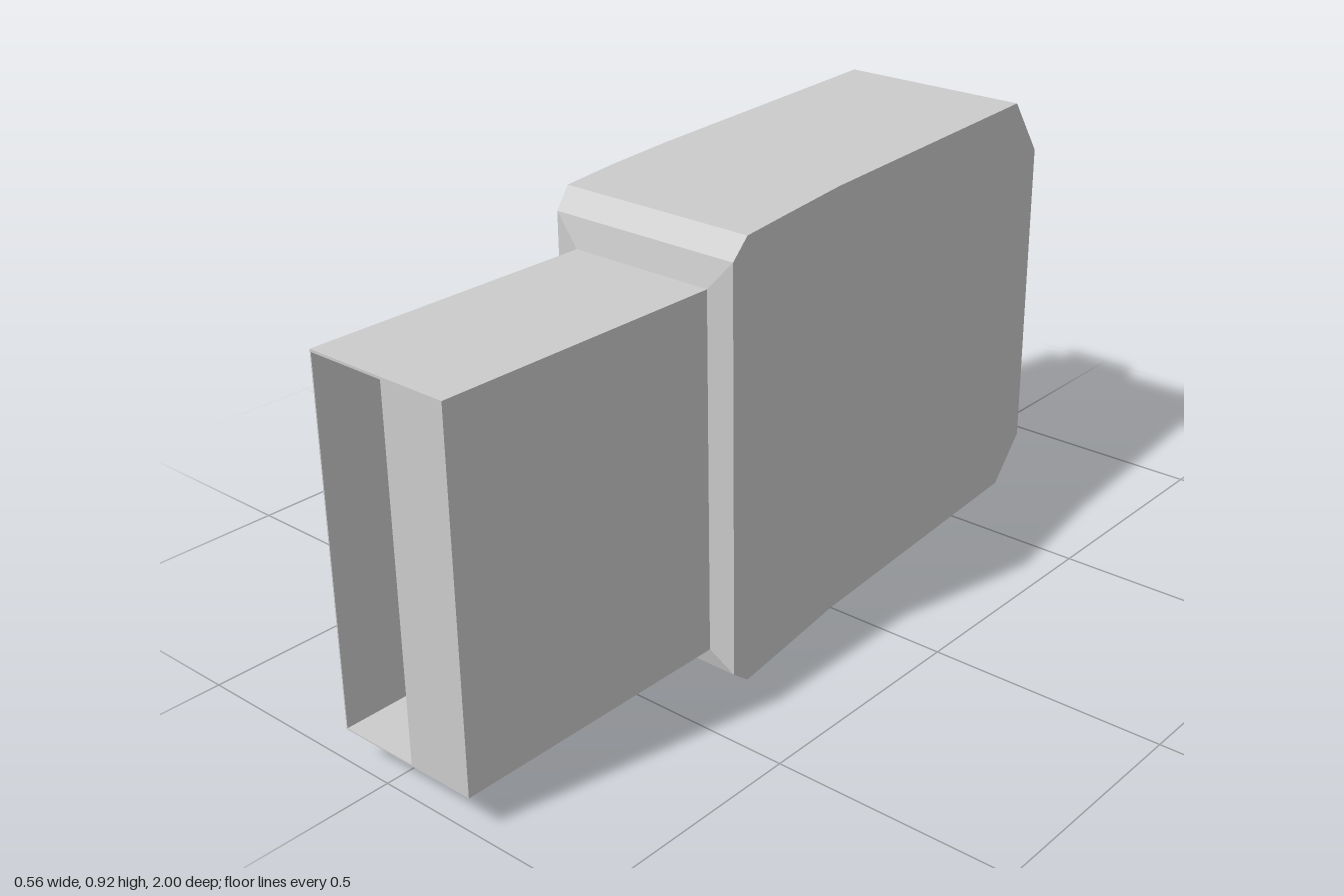
import * as THREE from 'three';

const material = new THREE.MeshStandardMaterial({ color: 0xcccccc, flatShading: true, side: THREE.DoubleSide });

// Skins rectangular sections [z, left, right, bottom, top], listed front to back, and caps both ends.
function loft(name, sections) {
  const rings = sections.map(([z, x0, x1, y0, y1]) => [[x0, y0, z], [x1, y0, z], [x1, y1, z], [x0, y1, z]]);
  const positions = [];
  const quad = (a, b, c, d) => positions.push(...a, ...b, ...c, ...a, ...c, ...d);
  for (let i = 0; i < rings.length - 1; i++) {
    const f = rings[i], b = rings[i + 1];
    for (let j = 0; j < 4; j++) {
      const k = (j + 1) % 4;
      quad(f[j], b[j], b[k], f[k]);
    }
  }
  const [a, b, c, d] = rings[0];
  quad(a, b, c, d);
  const [e, f, g, h] = rings[rings.length - 1];
  quad(h, g, f, e);
  const geometry = new THREE.BufferGeometry();
  geometry.setAttribute('position', new THREE.Float32BufferAttribute(positions, 3));
  geometry.computeVertexNormals();
  const mesh = new THREE.Mesh(geometry, material);
  mesh.name = name;
  return mesh;
}

function rectangle(target, x0, x1, y0, y1) {
  target.moveTo(x0, y0);
  target.lineTo(x1, y0);
  target.lineTo(x1, y1);
  target.lineTo(x0, y1);
  target.closePath();
  return target;
}

// Thin metal sleeve with a deep slot beside its solid tongue.
function createConnector() {
  const shape = rectangle(new THREE.Shape(), -0.105, 0.22, 0.072, 0.82);
  shape.holes.push(rectangle(new THREE.Path(), -0.102, 0.073, 0.075, 0.815));
  const geometry = new THREE.ExtrudeGeometry(shape, { depth: 0.635, bevelEnabled: false });
  geometry.translate(0, 0, 0.365);
  const mesh = new THREE.Mesh(geometry, material);
  mesh.name = 'connector';
  return mesh;
}

export function createModel() {
  const group = new THREE.Group();
  group.name = 'plug';

  // Slightly bent housing with bevelled top and bottom edges.
  group.add(loft('housing', [
    [0.371, -0.105, 0.22, 0.072, 0.82],
    [0.36, -0.165, 0.272, 0.03, 0.88],
    [0.325, -0.17, 0.276, 0.004, 0.922],
    [0.18, -0.193, 0.255, 0.002, 0.922],
    [0, -0.213, 0.23, 0.002, 0.922],
    [-0.7, -0.265, 0.176, 0.004, 0.922],
    [-0.802, -0.279, 0.165, 0.092, 0.792],
  ]));

  group.add(createConnector());

  // Skewed cable stub at the back.
  group.add(loft('cableStub', [
    [-0.79, -0.14, 0.035, 0.332, 0.625],
    [-0.995, -0.205, -0.03, 0.335, 0.622],
  ]));
  return group;
}
